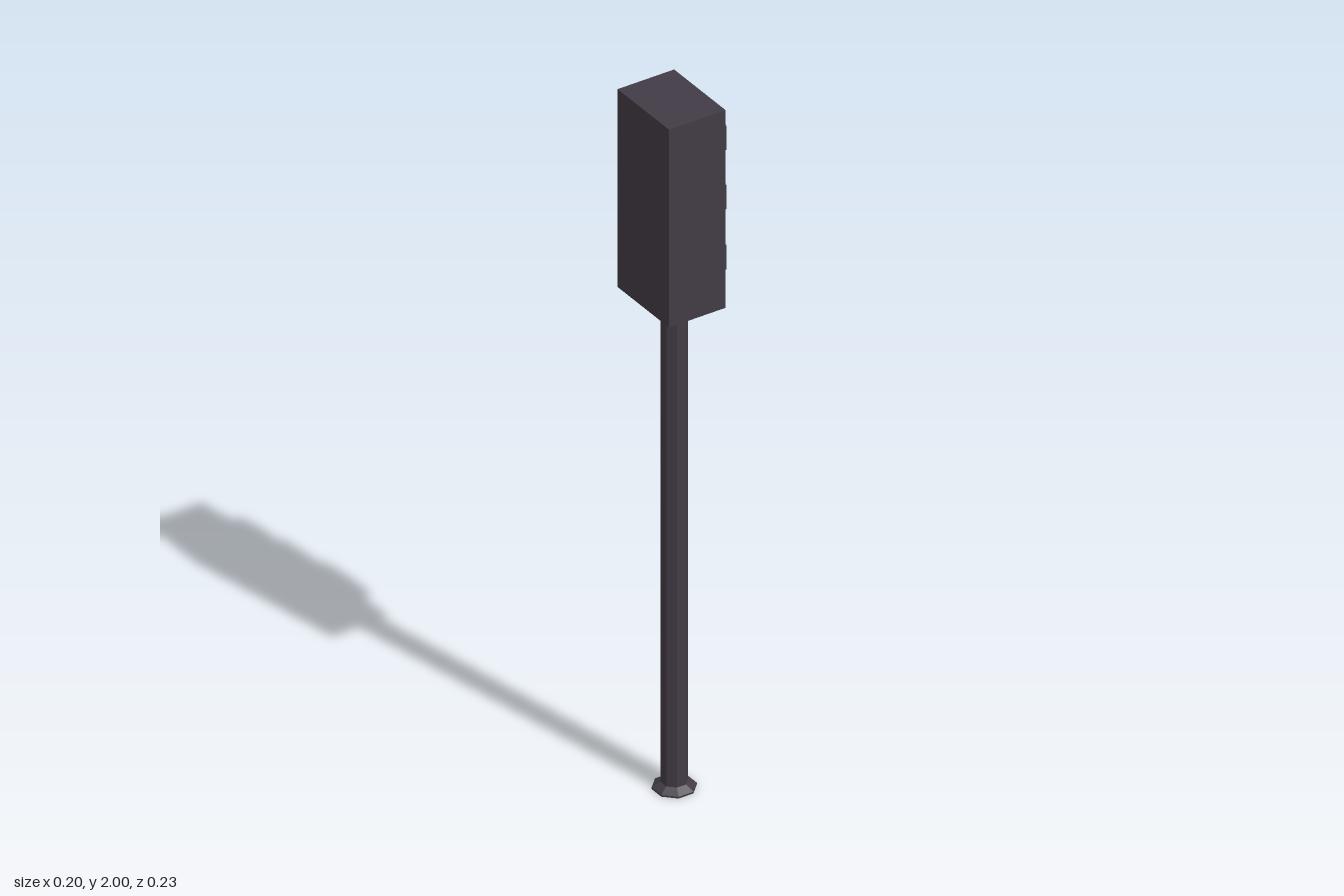
import * as THREE from 'three';

const paint = (color) => new THREE.MeshStandardMaterial({ color, flatShading: true });

// Octagon outline: half width, half height and the half lengths of its flats
function octagon(Target, w, h, flatW, flatH) {
  const corners = [
    [w, -flatH], [w, flatH], [flatW, h], [-flatW, h],
    [-w, flatH], [-w, -flatH], [-flatW, -h], [flatW, -h],
  ];
  return new Target(corners.map(([x, y]) => new THREE.Vector2(x, y)));
}

export function createModel() {
  const model = new THREE.Group();
  model.name = 'trafficLight';
  const dark = paint(0x423c46);

  const add = (name, geometry, material, x, y, z, parent = model) => {
    const mesh = new THREE.Mesh(geometry, material);
    mesh.name = name;
    mesh.position.set(x, y, z);
    parent.add(mesh);
    return mesh;
  };

  // Eight-sided pole with flats facing the axes
  const poleX = -0.008;
  const prism = (top, bottom, height) =>
    new THREE.CylinderGeometry(top, bottom, height, 8).rotateY(Math.PI / 8);
  add('pole', prism(0.035, 0.035, 1.425), dark, poleX, 0.7125, 0);

  // Flared foot
  add('footPlate', prism(0.057, 0.057, 0.005), dark, poleX, 0.0025, 0);
  add('footFlare', prism(0.036, 0.057, 0.014), dark, poleX, 0.012, 0);

  // Signal housing
  add('housing', new THREE.BoxGeometry(0.168, 0.575, 0.23), dark, -0.016, 1.7125, 0);

  // Three lamps facing +x, each a raised rim around a recessed lens
  const rimShape = octagon(THREE.Shape, 0.071, 0.066, 0.035, 0.035);
  rimShape.holes.push(octagon(THREE.Path, 0.06, 0.055, 0.031, 0.029));
  const rimGeometry = new THREE.ExtrudeGeometry(rimShape, { depth: 0.033, bevelEnabled: false })
    .rotateY(Math.PI / 2);
  const lensGeometry = new THREE.ShapeGeometry(octagon(THREE.Shape, 0.061, 0.056, 0.031, 0.029))
    .rotateY(Math.PI / 2);

  const lamps = [
    ['red', 0xab6891, 1.886],
    ['amber', 0xd87e0c, 1.714],
    ['green', 0x40806b, 1.539],
  ];
  for (const [name, color, y] of lamps) {
    const lamp = new THREE.Group();
    lamp.name = `${name}Lamp`;
    lamp.position.set(0.067, y, 0);
    add(`${name}Rim`, rimGeometry, dark, 0, 0, 0, lamp);
    add(`${name}Lens`, lensGeometry, paint(color), 0.012, 0, 0, lamp);
    model.add(lamp);
  }

  return model;
}
